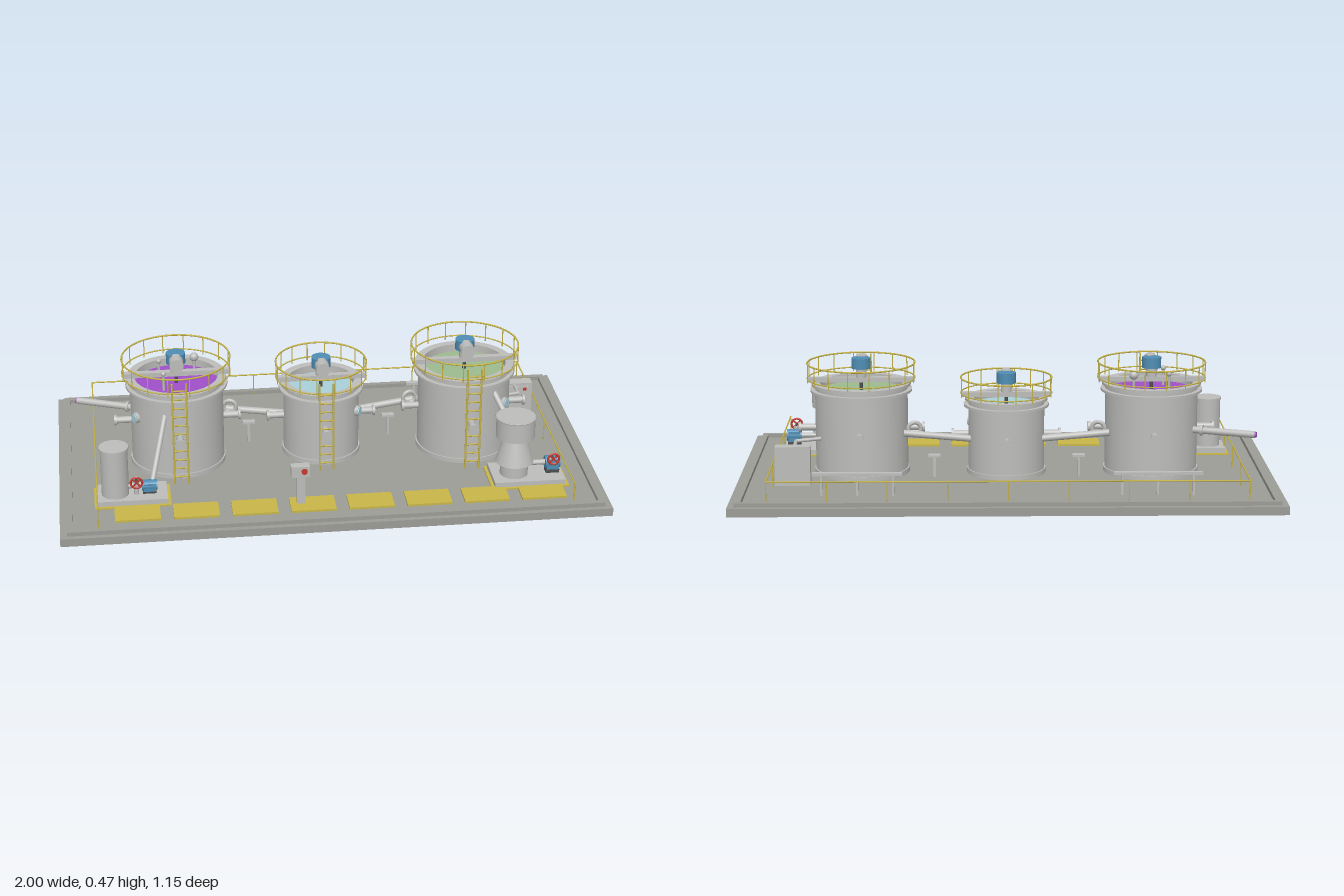
import * as THREE from 'three';

export function createModel() {
  const root = new THREE.Group();
  root.name = 'processPlant';
  const mat = (name, color, side = THREE.FrontSide) => {
    const m = new THREE.MeshStandardMaterial({ color, side });
    m.name = name;
    return m;
  };
  const concrete = mat('concrete', 0x9b9c96);
  const steel = mat('steel', 0xbcbcba, THREE.DoubleSide);
  const yellow = mat('safetyYellow', 0xc8b648);
  const blue = mat('motorBlue', 0x4f8db3);
  const red = mat('red', 0xc4382e);
  const dark = mat('darkMetal', 0x4a4c4e);
  const purple = mat('purpleLiquid', 0xa050c8);
  const aqua = mat('paleBlue', 0xa9d0d8);
  const green = mat('greenLiquid', 0x9dba8e);

  const V = (x, y, z) => new THREE.Vector3(x, y, z);
  const add = (parent, name, geo, m, x = 0, y = 0, z = 0) => {
    const mesh = new THREE.Mesh(geo, m);
    mesh.name = name;
    mesh.position.set(x, y, z);
    parent.add(mesh);
    return mesh;
  };
  // Box given by its centre in x and z and its bottom and top
  const box = (p, name, m, w, d, y0, y1, x, z) =>
    add(p, name, new THREE.BoxGeometry(w, y1 - y0, d), m, x, (y0 + y1) / 2, z);
  const cyl = (p, name, m, r, y0, y1, x = 0, z = 0, seg = 32) =>
    add(p, name, new THREE.CylinderGeometry(r, r, y1 - y0, seg), m, x, (y0 + y1) / 2, z);
  // Straight round bar between two points
  const bar = (p, name, m, r, a, b, seg = 12) => {
    const d = b.clone().sub(a);
    const mesh = add(p, name, new THREE.CylinderGeometry(r, r, d.length(), seg), m);
    mesh.position.copy(a).add(b).multiplyScalar(0.5);
    mesh.quaternion.setFromUnitVectors(V(0, 1, 0), d.normalize());
    return mesh;
  };
  const hoop = (p, name, m, r, t, y) => {
    const mesh = add(p, name, new THREE.TorusGeometry(r, t, 6, 48), m, 0, y, 0);
    mesh.rotation.x = Math.PI / 2;
    return mesh;
  };
  const group = (name, x = 0, y = 0, z = 0) => {
    const g = new THREE.Group();
    g.name = name;
    g.position.set(x, y, z);
    root.add(g);
    return g;
  };

  // Slab with a kerb round its edge
  const deckY = 0.03;
  box(root, 'baseSlab', concrete, 2, 1.15, 0, deckY, 0, 0);
  for (const s of [-1, 1]) {
    box(root, 'kerbLong', concrete, 1.95, 0.022, deckY, 0.045, 0, s * 0.544);
    box(root, 'kerbShort', concrete, 0.022, 1.066, deckY, 0.045, s * 0.964, 0);
  }

  // Floor hatches along the front
  for (let i = 0; i < 8; i++)
    box(root, 'floorHatch', yellow, 0.165, 0.105, deckY, 0.038, -0.72 + i * 0.2125, 0.422);

  // Perimeter railing on the back and both sides
  const rail = group('perimeterRailing');
  const railRun = (a, b, n) => {
    bar(rail, 'topRail', yellow, 0.0028, a, b, 6);
    for (let i = 0; i <= n; i++) {
      const p = a.clone().lerp(b, i / n);
      bar(rail, 'railPost', yellow, 0.0022, V(p.x, deckY, p.z), p, 6);
    }
  };
  railRun(V(-0.862, 0.117, -0.533), V(0.862, 0.117, -0.533), 8);
  for (const s of [-1, 1]) railRun(V(s * 0.862, 0.117, -0.533), V(s * 0.862, 0.117, 0.533), 4);

  // Open tank with liquid, nozzles, guard rail, ladder and mixer
  function tank(name, x, z, r, top, liquid, gauge) {
    const g = group(name, x, 0, z);
    const inner = r - 0.018;
    const wall = [[r + 0.005, deckY], [r + 0.005, 0.048], [r, 0.048], [r, top], [inner, top], [inner, top - 0.06]];
    // Each wall segment is its own lathe so that corners stay sharp
    for (let i = 0; i + 1 < wall.length; i++)
      add(g, 'tankWall', new THREE.LatheGeometry(wall.slice(i, i + 2).map(p => new THREE.Vector2(...p)), 48), steel);
    const ringBand = (rad, y0, y1) => {
      const s = new THREE.Shape().absarc(0, 0, rad, 0, Math.PI * 2);
      s.holes.push(new THREE.Path().absarc(0, 0, inner, 0, Math.PI * 2, true));
      const geo = new THREE.ExtrudeGeometry(s, { depth: y1 - y0, bevelEnabled: false, curveSegments: 32 });
      geo.rotateX(-Math.PI / 2);
      add(g, 'rimBand', geo, steel, 0, y0, 0);
    };
    ringBand(r + 0.012, top - 0.01, top);
    ringBand(r + 0.017, top - 0.033, top - 0.024);
    cyl(g, 'liquid', liquid, inner, top - 0.045, top - 0.03, 0, 0, 48);

    // Guard rail
    const rr = r + 0.028;
    hoop(g, 'guardTopRail', yellow, rr, 0.0032, top + 0.074);
    hoop(g, 'guardLowRail', yellow, rr, 0.0025, top + 0.016);
    for (let i = 0; i < 16; i++) {
      const a = (i + 0.5) * Math.PI / 8, c = Math.cos(a) * rr, s = Math.sin(a) * rr;
      bar(g, 'guardPost', yellow, 0.0022, V(c, top + 0.002, s), V(c, top + 0.074, s), 6);
    }

    // Ladder
    for (const s of [-1, 1])
      bar(g, 'ladderRail', yellow, 0.004, V(s * 0.026, deckY, r + 0.045), V(s * 0.026, top + 0.065, r + 0.045), 6);
    for (let y = 0.06; y < top + 0.05; y += 0.035)
      bar(g, 'ladderRung', yellow, 0.003, V(-0.026, y, r + 0.045), V(0.026, y, r + 0.045), 6);

    // Side nozzles with flanges
    const ny = top * 0.4 + 0.05;
    for (let i = 0; i < 4; i++) {
      const a = i * Math.PI / 2, dir = V(Math.cos(a), 0, Math.sin(a));
      const at = d => dir.clone().multiplyScalar(d).setY(ny);
      bar(g, 'nozzle', steel, 0.013, at(r - 0.01), at(r + 0.055));
      bar(g, 'nozzleFlange', steel, 0.02, at(r + 0.055), at(r + 0.064), 20);
    }

    // Round level gauge
    const gd = V(gauge[0], 0, gauge[1]).normalize();
    const gp = d => gd.clone().multiplyScalar(d).setY(top * 0.66);
    bar(g, 'gaugeCase', steel, 0.02, gp(r - 0.01), gp(r + 0.012), 24);
    bar(g, 'gaugeFace', aqua, 0.017, gp(r + 0.012), gp(r + 0.016), 24);

    // Bridge, gearbox, motor and shaft
    box(g, 'mixerBridge', steel, 2 * r + 0.05, 0.024, top, top + 0.018, 0, 0);
    cyl(g, 'mixerPedestal', steel, 0.02, top + 0.018, top + 0.054);
    cyl(g, 'mixerGearbox', blue, 0.036, top + 0.052, top + 0.092);
    bar(g, 'mixerMotor', steel, 0.026, V(0, top + 0.07, 0.02), V(0, top + 0.07, 0.076), 24);
    cyl(g, 'mixerShaft', dark, 0.007, top - 0.05, top + 0.02, 0, 0, 12);
    return g;
  }
  const tankA = tank('leftTank', -0.547, -0.017, 0.174, 0.374, purple, [-0.165, 0.09]);
  tank('middleTank', 0, -0.036, 0.143, 0.32, aqua, [0.155, 0.08]);
  tank('rightTank', 0.545, -0.017, 0.174, 0.374, green, [0.145, 0.12]);

  // Probes standing in the first tank
  for (const [x, z, r] of [[0.072, -0.075, 0.017], [-0.062, -0.052, 0.01], [-0.05, 0.065, 0.01]]) {
    cyl(tankA, 'probeStem', steel, 0.005, 0.33, 0.41, x, z, 8);
    add(tankA, 'probeHead', new THREE.SphereGeometry(r, 16, 12), steel, x, 0.411, z);
  }

  // Process pipes
  const pipe = (name, r, a, b) => bar(root, name, steel, r, V(...a), V(...b), 16);
  pipe('inletPipe', 0.013, [-0.92, 0.205, -0.193], [-0.7, 0.205, -0.105]);
  pipe('inletFlange', 0.02, [-0.735, 0.205, -0.119], [-0.726, 0.205, -0.1155]);
  bar(root, 'inletEnd', purple, 0.011, V(-0.925, 0.205, -0.195), V(-0.919, 0.205, -0.1926));
  for (const s of [-1, 1]) {
    pipe('transferPipe', 0.013, [s * 0.385, 0.192, -0.092], [s * 0.12, 0.165, -0.073]);
    const elbow = add(root, 'pipeElbow', new THREE.TorusGeometry(0.024, 0.008, 8, 24), steel, s * 0.345, 0.205, -0.075);
    elbow.rotation.y = 0.2 * s;
    // Pipe support
    box(root, 'supportPost', steel, 0.01, 0.01, deckY, 0.11, s * 0.27, -0.12);
    box(root, 'supportPlate', steel, 0.046, 0.025, 0.108, 0.116, s * 0.27, -0.12);
    // Cable tray behind the tanks
    box(root, 'cableTray', steel, 0.325, 0.02, 0.106, 0.116, s * 0.545, -0.395);
    for (const dx of [-0.13, 0, 0.13])
      box(root, 'trayPost', steel, 0.008, 0.008, deckY, 0.106, s * 0.545 + dx, -0.395);
  }
  pipe('leftFeedPipe', 0.01, [-0.6, 0.285, 0.14], [-0.66, 0.085, 0.29]);
  pipe('rightFeedPipe', 0.011, [0.635, 0.305, 0.12], [0.715, 0.15, 0.27]);

  // Skid pads with yellow borders
  const skid = (name, x, z, w, d) => {
    const g = group(name);
    box(g, 'skidBorder', yellow, w + 0.024, d + 0.02, deckY, 0.036, x, z);
    box(g, 'skidPad', steel, w, d, deckY, 0.055, x, z);
    return g;
  };
  // Pump with a coupling, and a handwheel facing forward
  const pump = (g, x, z, y0, y1, dir) => {
    box(g, 'pumpFoot', dark, 0.05, 0.035, 0.055, y0, x, z);
    const body = bar(g, 'pumpMotor', blue, 0.022, V(x - 0.028, (y0 + y1) / 2, z), V(x + 0.028, (y0 + y1) / 2, z), 20);
    body.scale.x = (y1 - y0) / 0.044;
    box(g, 'pumpTerminalBox', blue, 0.045, 0.042, y0, y1 - 0.008, x, z);
    bar(g, 'pumpCoupling', steel, 0.01, V(x, (y0 + y1) / 2, z), V(x + dir * 0.09, (y0 + y1) / 2, z));
  };
  const wheel = (g, x, y, z) => {
    add(g, 'handwheelRim', new THREE.TorusGeometry(0.021, 0.004, 8, 24), red, x, y, z);
    for (const a of [0.785, -0.785]) {
      const d = V(Math.cos(a), Math.sin(a), 0).multiplyScalar(0.021), c = V(x, y, z);
      bar(g, 'handwheelSpoke', red, 0.003, c.clone().sub(d), c.clone().add(d), 6);
    }
    bar(g, 'valveStem', dark, 0.004, V(x, y, z), V(x, y, z - 0.04), 8);
    cyl(g, 'valveBody', steel, 0.009, 0.055, y, x, z - 0.04, 12);
  };

  // Left skid: upright dosing drum
  const sl = skid('dosingSkid', -0.733, 0.29, 0.255, 0.14);
  cyl(sl, 'dosingDrum', steel, 0.05, 0.055, 0.24, -0.795, 0.295);
  cyl(sl, 'drumLid', steel, 0.054, 0.238, 0.246, -0.795, 0.295);
  pump(sl, -0.67, 0.295, 0.064, 0.102, -1);
  wheel(sl, -0.718, 0.12, 0.347);

  // Right skid: waisted hopper
  const sr = skid('hopperSkid', 0.733, 0.297, 0.265, 0.165);
  const hopper = [[0.052, 0.055], [0.052, 0.105], [0.071, 0.107], [0.043, 0.2], [0.072, 0.21], [0.072, 0.29], [0, 0.29]];
  for (let i = 0; i + 1 < hopper.length; i++)
    add(sr, 'hopperShell', new THREE.LatheGeometry(hopper.slice(i, i + 2).map(p => new THREE.Vector2(...p)), 32),
      steel, 0.684, 0, 0.304);
  const lip = hoop(sr, 'hopperLip', steel, 0.072, 0.003, 0.288);
  lip.position.set(0.684, 0.288, 0.304);
  pump(sr, 0.828, 0.304, 0.07, 0.118, -1);
  wheel(sr, 0.822, 0.128, 0.352);

  // Electrical cabinet and its conduit
  const cab = group('electricalCabinet');
  box(cab, 'cabinetBody', steel, 0.13, 0.045, deckY, 0.177, 0.79, -0.228);
  box(cab, 'cabinetDoor', steel, 0.11, 0.006, 0.055, 0.165, 0.79, -0.203);
  box(cab, 'cabinetLamp', red, 0.012, 0.004, 0.148, 0.16, 0.825, -0.199);
  pipe('cabinetConduit', 0.007, [0.69, 0.175, -0.1], [0.785, 0.172, -0.13]);
  pipe('cabinetConduit', 0.007, [0.785, 0.172, -0.13], [0.785, 0.168, -0.21]);

  // Operator station with a stop button
  const op = group('operatorStation');
  box(op, 'stationPost', steel, 0.03, 0.024, deckY, 0.15, -0.125, 0.41);
  box(op, 'stationBox', steel, 0.068, 0.034, 0.148, 0.19, -0.127, 0.41);
  bar(op, 'stopButton', red, 0.011, V(-0.113, 0.172, 0.426), V(-0.113, 0.172, 0.433), 16);

  return root;
}
